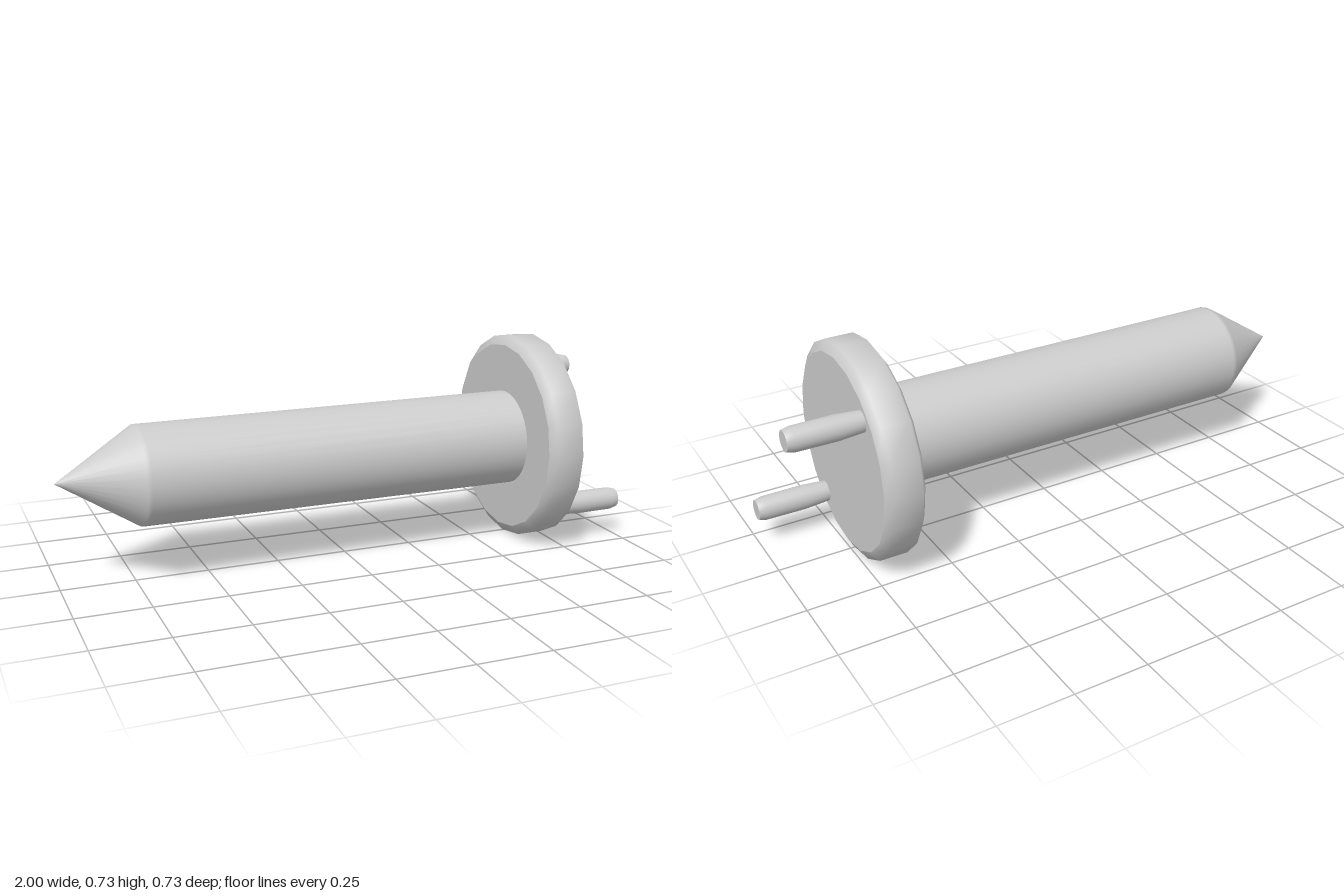
import * as THREE from 'three';
import { mergeGeometries } from 'three/addons/utils/BufferGeometryUtils.js';

const material = new THREE.MeshStandardMaterial({ color: 0xcccccc });

// Turned part along x. Each section is a list of [x, radius];
// shading is smooth within a section and sharp between sections.
function turned(name, sides, y, z, sections) {
  const parts = sections.map((section) =>
    new THREE.LatheGeometry(section.map(([x, r]) => new THREE.Vector2(r, x)), sides));
  const geometry = mergeGeometries(parts);
  geometry.rotateZ(-Math.PI / 2);
  const mesh = new THREE.Mesh(geometry, material);
  mesh.name = name;
  mesh.position.set(0, y, z);
  return mesh;
}

export function createModel() {
  const group = new THREE.Group();
  group.name = 'spike';

  // Pointed shaft
  group.add(turned('shaft', 32, 0.367, 0.017, [
    [[-1, 0], [-0.735, 0.168], [-0.72, 0.168], [0.63, 0.168]],
  ]));

  // Faceted disc with bevelled rims
  group.add(turned('disc', 20, 0.367, 0, [
    [[0.62, 0], [0.62, 0.335]],
    [[0.62, 0.335], [0.64, 0.367], [0.735, 0.367], [0.755, 0.333]],
    [[0.755, 0.333], [0.755, 0]],
  ]));

  // Two slightly swelling pins on the disc's outer face
  for (const [name, y, z] of [['upperPin', 0.568, -0.197], ['lowerPin', 0.135, 0.175]]) {
    group.add(turned(name, 24, y, z, [
      [[0.74, 0.034], [0.84, 0.041], [0.975, 0.04], [1, 0.034]],
      [[1, 0.034], [1, 0]],
    ]));
  }
  return group;
}
